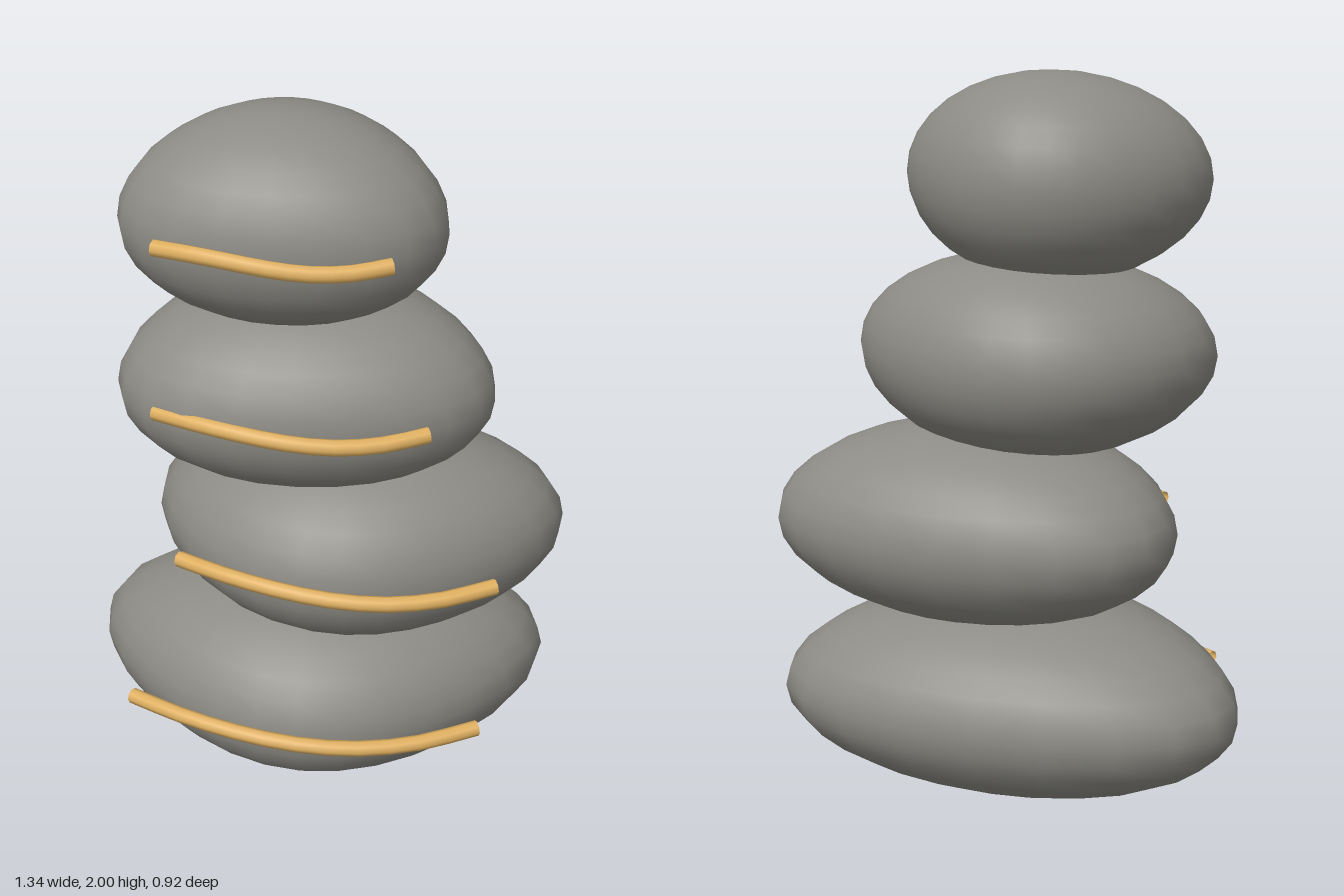
import * as THREE from 'three';
import { mergeVertices } from 'three/addons/utils/BufferGeometryUtils.js';

const stoneMaterial = new THREE.MeshStandardMaterial({ color: 0x8c8b85 });
const cordMaterial = new THREE.MeshStandardMaterial({ color: 0xe0b060, side: THREE.DoubleSide });

// c: centre, r: radii, taperZ: widening toward the front, taperX: widening toward +x
// cord: x range, height, z at the middle and how far the ends fall back
const tiers = [
  { c: [-0.02, 0.287, -0.015], r: [0.655, 0.285, 0.445], taperZ: -0.28, taperX: 0,
    cord: { x0: -0.51, x1: 0.47, y: 0.295, z: 0.44, drop: 0.145 } },
  { c: [0.095, 0.765, -0.005], r: [0.575, 0.285, 0.407], taperZ: -0.2, taperX: -0.1,
    cord: { x0: -0.36, x1: 0.5, y: 0.77, z: 0.412, drop: 0.13 } },
  { c: [-0.035, 1.238, 0.028], r: [0.505, 0.283, 0.37], taperZ: 0.18, taperX: -0.1,
    cord: { x0: -0.4, x1: 0.31, y: 1.243, z: 0.41, drop: 0.1 } },
  { c: [-0.09, 1.717, 0.05], r: [0.425, 0.283, 0.32], taperZ: 0.22, taperX: 0,
    cord: { x0: -0.38, x1: 0.21, y: 1.715, z: 0.388, drop: 0.07 } },
];

// Pebble: a sphere stretched and tapered into an egg-like form
function stoneGeometry({ c, r, taperZ, taperX }) {
  let geo = new THREE.SphereGeometry(1, 24, 16);
  geo.deleteAttribute('uv');
  geo.deleteAttribute('normal');
  geo = mergeVertices(geo, 1e-4);
  const p = geo.attributes.position;
  const keepX = 1 + taperZ * taperZ / 2; // keeps the overall width
  const keepZ = 1 + taperX * taperX / 2;
  for (let i = 0; i < p.count; i++) {
    const x = p.getX(i), y = p.getY(i), z = p.getZ(i);
    p.setXYZ(i,
      c[0] + r[0] * x * (1 + taperZ * z) / keepX,
      c[1] + r[1] * y,
      c[2] + r[2] * z * (1 + taperX * x) / keepZ);
  }
  geo.computeVertexNormals();
  return geo;
}

// Cord: a gently waving tube bowed around the front of a stone
function cordGeometry({ x0, x1, y, z, drop }) {
  const points = [];
  for (let i = 0; i <= 6; i++) {
    const s = i / 3 - 1;
    points.push(new THREE.Vector3(
      THREE.MathUtils.lerp(x0, x1, i / 6),
      y - 0.014 * Math.sin(s * Math.PI * 0.85),
      z - drop * s * s));
  }
  return new THREE.TubeGeometry(new THREE.CatmullRomCurve3(points), 12, 0.022, 8);
}

export function createModel() {
  const model = new THREE.Group();
  model.name = 'stackedStones';
  tiers.forEach((tier, i) => {
    const stone = new THREE.Mesh(stoneGeometry(tier), stoneMaterial);
    stone.name = `stone${i + 1}`;
    const cord = new THREE.Mesh(cordGeometry(tier.cord), cordMaterial);
    cord.name = `cord${i + 1}`;
    model.add(stone, cord);
  });
  return model;
}
